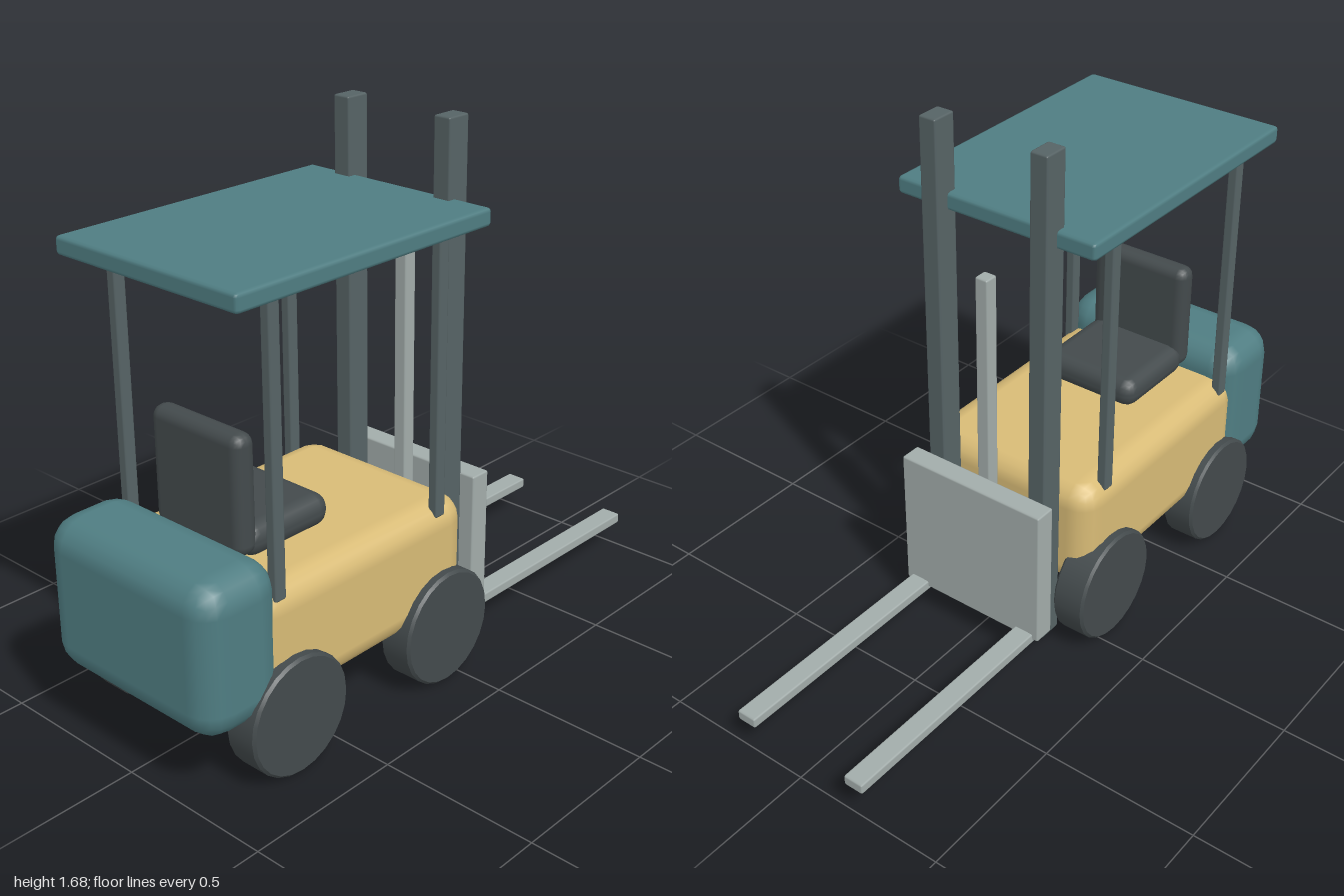
import * as THREE from 'three';
import { RoundedBoxGeometry } from 'three/addons/geometries/RoundedBoxGeometry.js';

const paint = (color) => new THREE.MeshStandardMaterial({ color });

export function createModel() {
  const teal = paint(0x4f7d82);
  const yellow = paint(0xd8bb76);
  const dark = paint(0x434a4c);
  const steel = paint(0x566365);
  const silver = paint(0xa2acaa);
  const model = new THREE.Group();

  // Rounded box given by its extents along each axis
  function block(name, material, [x0, x1], [y0, y1], [z0, z1], radius, segments = 2) {
    const geometry = new RoundedBoxGeometry(x1 - x0, y1 - y0, z1 - z0, segments, radius);
    const mesh = new THREE.Mesh(geometry, material);
    mesh.name = name;
    mesh.position.set((x0 + x1) / 2, (y0 + y1) / 2, (z0 + z1) / 2);
    model.add(mesh);
  }

  // Chassis and counterweight
  block('body', yellow, [-0.32, 0.32], [0.2, 0.58], [-0.06, 0.8], 0.08);
  block('counterweight', teal, [-0.335, 0.335], [0.21, 0.68], [0.715, 1], 0.09);

  // Seat
  block('seatCushion', dark, [-0.175, 0.175], [0.59, 0.69], [0.37, 0.69], 0.046);
  block('seatBack', dark, [-0.175, 0.175], [0.61, 0.97], [0.65, 0.725], 0.034);

  // Overhead guard
  block('roof', teal, [-0.345, 0.345], [1.39, 1.445], [-0.1, 0.865], 0.012, 1);

  // Lift mechanism
  block('liftRam', silver, [-0.022, 0.022], [0.135, 1.25], [-0.155, -0.11], 0.006, 1);
  block('carriage', silver, [-0.26, 0.26], [0.1, 0.572], [-0.225, -0.155], 0.006, 1);

  // Wheel with slightly bevelled rims, turned about the x axis
  const profile = [[0, -0.055], [0.174, -0.055], [0.182, -0.047], [0.182, 0.047], [0.174, 0.055], [0, 0.055]];
  const points = profile.flatMap(([r, y], i) => {
    const p = new THREE.Vector2(r, y);
    return i > 0 && i < 5 ? [p, p.clone()] : [p]; // doubled points keep rims crisp
  });
  const wheelGeometry = new THREE.LatheGeometry(points, 24).rotateZ(Math.PI / 2);

  // Paired parts on both sides
  for (const [side, s] of [['left', 1], ['right', -1]]) {
    const span = (a, b) => (s > 0 ? [a, b] : [-b, -a]);
    block(side + 'MastRail', steel, span(0.16, 0.219), [0.035, 1.68], [-0.145, -0.063], 0.006, 1);
    block(side + 'Fork', silver, span(0.173, 0.24), [0.087, 0.121], [-1, -0.16], 0.006, 1);

    for (const [end, postZ, wheelZ] of [['Seat', 0.71, 0.68], ['Mast', 0.06, 0.06]]) {
      block(side + end + 'Post', steel, span(0.279, 0.311), [0.54, 1.4], [postZ - 0.02, postZ + 0.02], 0.006, 1);
      const wheel = new THREE.Mesh(wheelGeometry, dark);
      wheel.name = side + end + 'Wheel';
      wheel.position.set(s * 0.295, 0.184, wheelZ);
      model.add(wheel);
    }
  }
  return model;
}
